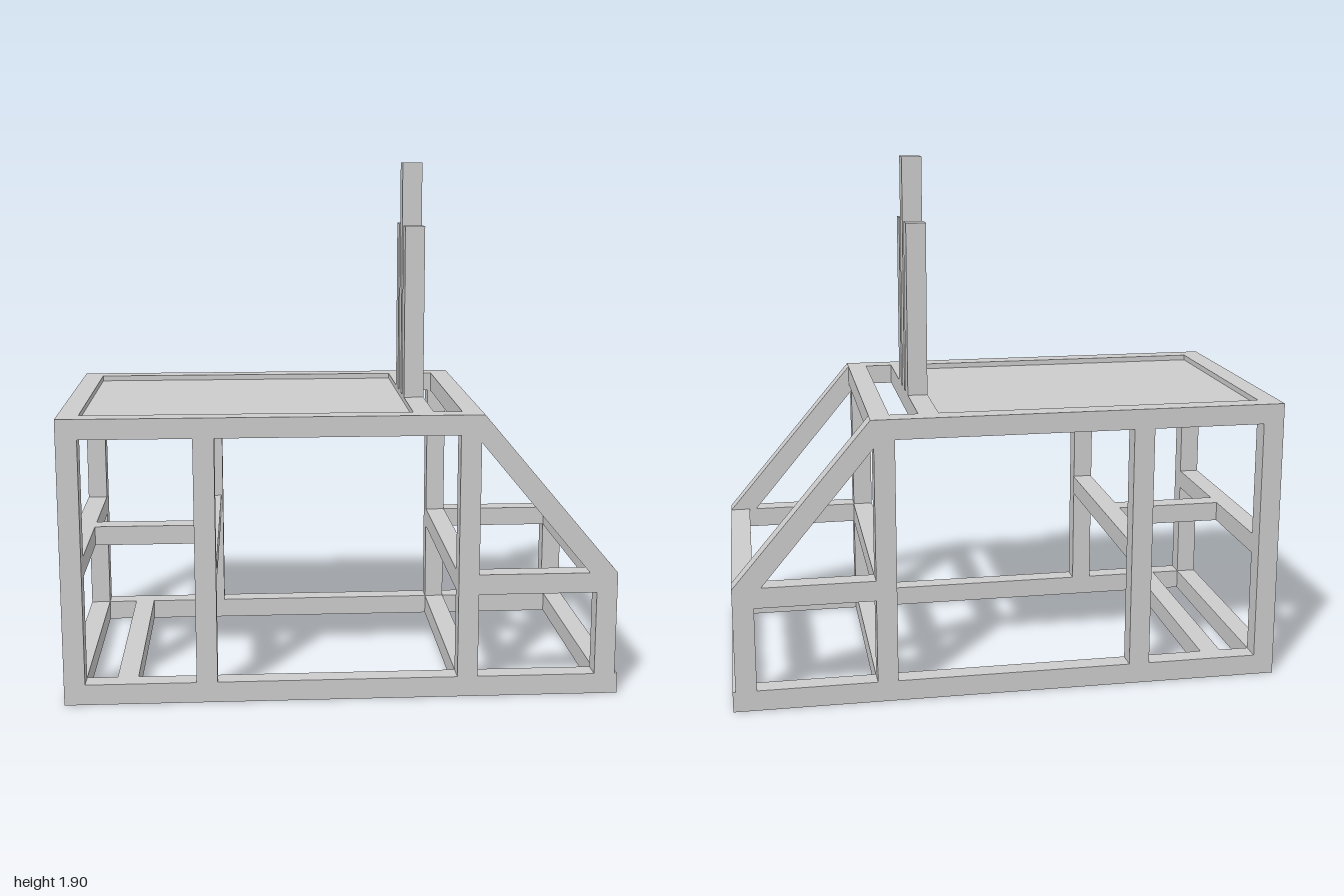
import * as THREE from 'three';

const material = new THREE.MeshStandardMaterial({ color: 0xcccccc });
const INNER = 0.438; // inner face of each side frame
const DEPTH = 0.072; // side frame thickness

export function createModel() {
  const model = new THREE.Group();

  // Box given by its limits on each axis
  const box = (name, [x0, x1], [y0, y1], [z0, z1]) => {
    const mesh = new THREE.Mesh(new THREE.BoxGeometry(x1 - x0, y1 - y0, z1 - z0), material);
    mesh.position.set((x0 + x1) / 2, (y0 + y1) / 2, (z0 + z1) / 2);
    mesh.name = name;
    model.add(mesh);
  };
  const outline = (points, Type) => new Type(points.map(([x, y]) => new THREE.Vector2(x, y)));
  const rect = (x0, x1, y0, y1) => [[x0, y0], [x0, y1], [x1, y1], [x1, y0]];

  // Side frames: one silhouette with window openings, sloped at the nose
  const sideFrame = (name, z, postEdge) => {
    const shape = outline([[-1, 0], [1, 0], [1, 0.075], [0.99, 0.075], [0.99, 0.455],
      [0.497, 1.04], [-1, 1.04]], THREE.Shape);
    const openings = [
      rect(-0.925, postEdge - 0.075, 0.075, 0.967),
      rect(postEdge, 0.413, 0.075, 0.967),
      rect(0.487, 0.915, 0.075, 0.383),
      [[0.487, 0.457], [0.487, 0.94], [0.888, 0.457]],
    ];
    shape.holes = openings.map((points) => outline(points, THREE.Path));
    const geometry = new THREE.ExtrudeGeometry(shape, { depth: DEPTH, bevelEnabled: false });
    const mesh = new THREE.Mesh(geometry, material);
    mesh.position.z = z;
    mesh.name = name;
    model.add(mesh);
  };
  sideFrame('leftSideFrame', INNER, -0.453);
  sideFrame('rightSideFrame', -INNER - DEPTH, -0.443);

  // Rails joining the two sides
  const crossRail = (name, x0, x1, y0, y1) => box(name, [x0, x1], [y0, y1], [-INNER, INNER]);
  for (const x of [-1, -0.815, 0.413, 0.925]) crossRail('floorCrossRail', x, x + 0.075, 0, 0.075);
  for (const x of [-1, -0.525]) crossRail('rearMiddleCrossRail', x, x + 0.075, 0.457, 0.53);
  for (const x of [0.413, 0.915]) crossRail('noseCrossRail', x, x + 0.075, 0.383, 0.457);
  crossRail('rearRoofRail', -1, -0.925, 0.967, 1.04);
  crossRail('stackRoofRail', 0.25, 0.323, 0.967, 1.04);
  crossRail('frontRoofRail', 0.425, 0.497, 0.967, 1.04);

  // Lengthwise rail between the two rear cross rails
  box('rearCentreRail', [-0.925, -0.525], [0.457, 0.53], [-0.037, 0.037]);

  // Sunken roof panel
  box('roofPanel', [-0.925, 0.25], [1.0, 1.02], [-INNER, INNER]);

  // Upright stacks, the middle one taller
  for (const [z, top] of [[-0.105, 1.675], [0, 1.905], [0.105, 1.675]]) {
    box('stack', [0.25, 0.323], [1.04, top], [z - 0.036, z + 0.036]);
  }

  return model;
}
